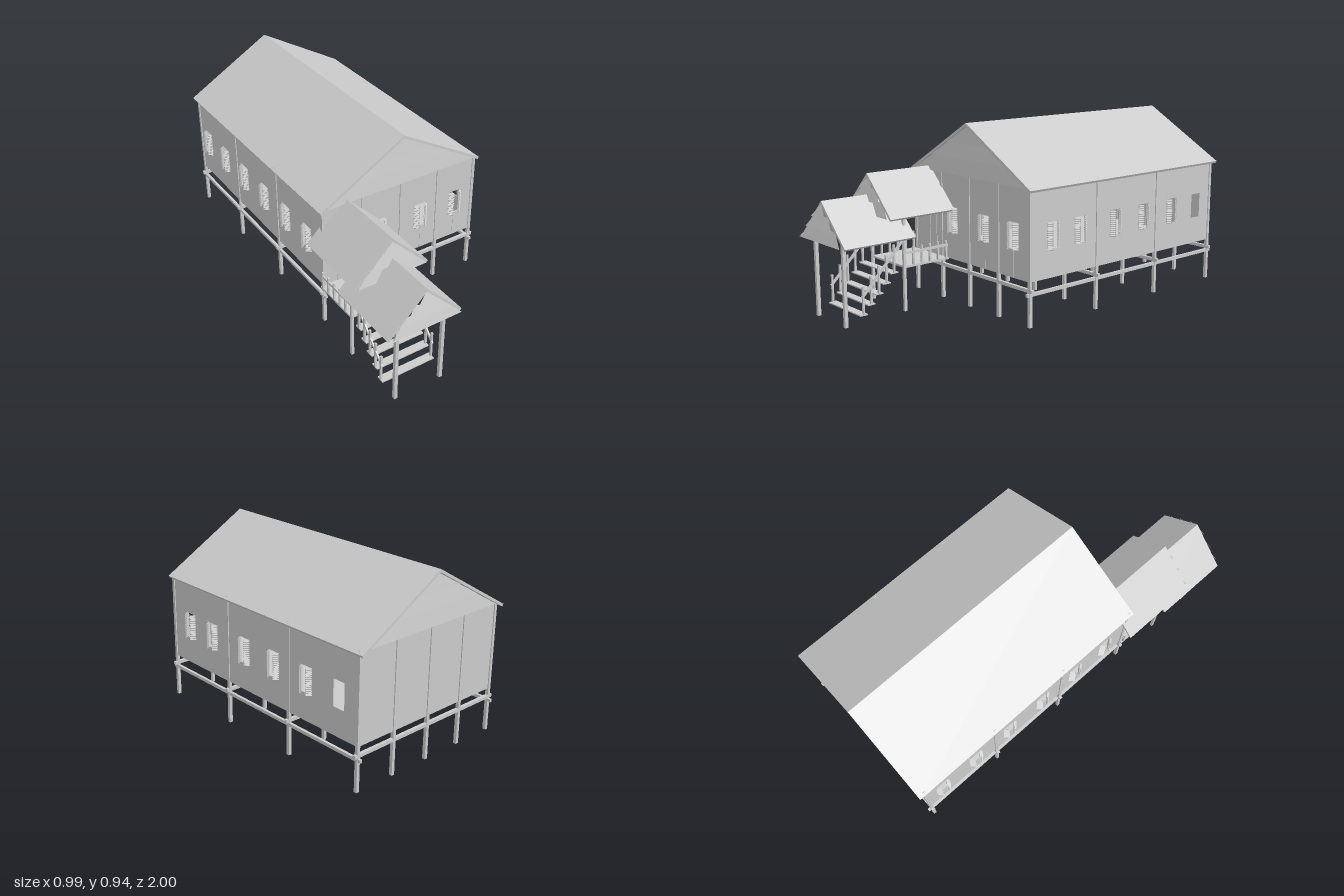
import * as THREE from 'three';

const mat = new THREE.MeshStandardMaterial({ color: 0xcccccc, flatShading: true, side: THREE.DoubleSide });

// House frame: centre, wall half sizes and heights
const CX = 0.023, CZ = -0.312, HALF_X = 0.442, HALF_Z = 0.656;
const FLOOR_Y = 0.245, WALL_TOP = 0.685;
const PORCH_X = -0.292;

function mesh(parent, name, geometry) {
  const m = new THREE.Mesh(geometry, mat);
  m.name = name;
  parent.add(m);
  return m;
}

function group(parent, name) {
  const g = new THREE.Group();
  g.name = name;
  parent.add(g);
  return g;
}

// Box given by its lower and upper limits on each axis
function block(parent, name, x0, x1, y0, y1, z0, z1) {
  const m = mesh(parent, name, new THREE.BoxGeometry(x1 - x0, y1 - y0, z1 - z0));
  m.position.set((x0 + x1) / 2, (y0 + y1) / 2, (z0 + z1) / 2);
  return m;
}

function post(parent, name, x, z, y0, y1, w) {
  return block(parent, name, x - w / 2, x + w / 2, y0, y1, z - w / 2, z + w / 2);
}

function polygon(points) {
  return new THREE.Shape(points.map(([x, y]) => new THREE.Vector2(x, y)));
}

// Folded roof sheet running along z
function gableRoof(parent, name, { x, ridge, eave, half, thick, z0, z1 }) {
  const slope = Math.atan2(ridge - eave, half);
  const drop = thick / Math.cos(slope);
  const dx = thick * Math.sin(slope), dy = thick * Math.cos(slope);
  const shape = polygon([[0, ridge], [-half, eave], [-half + dx, eave - dy],
    [0, ridge - drop], [half - dx, eave - dy], [half, eave]]);
  const geo = new THREE.ExtrudeGeometry(shape, { depth: z1 - z0, bevelEnabled: false });
  mesh(parent, name, geo).position.set(x, 0, z0);
}

// Overlapping boards filling a gable, each leaning out at its lower edge
function gableBoards(parent, name, roof, levels, z, lean) {
  const g = group(parent, name);
  const top = roof.ridge - roof.thick * 1.1;
  const width = y => Math.max(0.0005, (top - y) * roof.half / (roof.ridge - roof.eave));
  levels.forEach((y0, i) => {
    const y1 = i + 1 < levels.length ? levels[i + 1] + 0.004 : top;
    const geo = new THREE.ShapeGeometry(polygon([[-width(y0), y0], [width(y0), y0], [width(y1), y1], [-width(y1), y1]]));
    const p = geo.attributes.position;
    for (let k = 0; k < p.count; k++) p.setZ(k, lean * (y1 - p.getY(k)) / (y1 - y0));
    geo.computeVertexNormals();
    mesh(g, 'gableBoard', geo).position.set(roof.x, 0, z);
  });
  return g;
}

const WIN = { half: 0.034, y0: 0.38, y1: 0.51 };

// Half-open louvred shutter hinged at one window edge
function shutter(parent, u, side) {
  const g = group(parent, 'shutter');
  const len = 0.03;
  g.position.set(u + side * 0.037, 0, 0.004);
  g.rotation.y = side * 0.78;
  const a = -side * len, lo = Math.min(0, a), hi = Math.max(0, a);
  for (const e of [0, a - Math.sign(a) * 0.004]) {
    block(g, 'shutterStile', Math.min(e, e + Math.sign(a) * 0.004), Math.max(e, e + Math.sign(a) * 0.004),
      WIN.y0, WIN.y1, -0.002, 0.002);
  }
  for (let i = 0; i < 13; i++) {
    const y = WIN.y0 + 0.005 + i * 0.01;
    block(g, 'slat', lo, hi, y - 0.0012, y + 0.0012, -0.006, 0.006).rotation.x = 0.5;
  }
}

// Thin wall in its own frame: outside faces local +z
function wall(parent, name, half, windows) {
  const g = group(parent, name);
  const shape = polygon([[-half, FLOOR_Y], [half, FLOOR_Y], [half, WALL_TOP], [-half, WALL_TOP]]);
  for (const { u, shutters } of windows) {
    shape.holes.push(polygon([[u - WIN.half, WIN.y0], [u - WIN.half, WIN.y1], [u + WIN.half, WIN.y1], [u + WIN.half, WIN.y0]]));
    if (shutters) for (const s of [-1, 1]) shutter(g, u, s);
  }
  const geo = new THREE.ExtrudeGeometry(shape, { depth: 0.006, bevelEnabled: false });
  mesh(g, name + 'Panel', geo).position.z = -0.003;
  return g;
}

export function createModel() {
  const model = new THREE.Group();
  model.name = 'stiltHouse';

  // Walls
  const win = (u, shutters = true) => ({ u, shutters });
  const front = wall(model, 'frontWall', HALF_X, [-0.103, 0.141, 0.355].map(x => win(x - CX)));
  front.position.set(CX, 0, CZ + HALF_Z);
  const back = wall(model, 'backWall', HALF_X, []);
  back.position.set(CX, 0, CZ - HALF_Z);
  back.rotation.y = Math.PI;
  const left = wall(model, 'leftWall', HALF_Z,
    [0.205, 0.025, -0.22, -0.43, -0.65, -0.852].map(z => win(CZ - z, z > -0.8)));
  left.position.set(CX + HALF_X, 0, CZ);
  left.rotation.y = Math.PI / 2;
  const right = wall(model, 'rightWall', HALF_Z,
    [0.205, 0.0, -0.22, -0.44, -0.66, -0.87].map(z => win(z - CZ)));
  right.position.set(CX - HALF_X, 0, CZ);
  right.rotation.y = -Math.PI / 2;

  // Panel battens on the front wall and the double door behind the porch
  for (const x of [0.145, 0.355]) block(model, 'wallSeam', x - 0.001, x + 0.001, FLOOR_Y, WIN.y0, 0.344, 0.349);
  for (const s of [-1, 1]) {
    const a = PORCH_X + s * 0.003, b = PORCH_X + s * 0.052;
    block(model, 'doorLeaf', Math.min(a, b), Math.max(a, b), FLOOR_Y, 0.51, 0.344, 0.35);
  }

  // Floor, stilts and the beams tying them
  block(model, 'floor', CX - HALF_X, CX + HALF_X, FLOOR_Y - 0.004, FLOOR_Y + 0.002, CZ - HALF_Z, CZ + HALF_Z);
  const stilts = group(model, 'stilts');
  for (let r = 0; r < 4; r++) {
    const z = CZ + HALF_Z - r * HALF_Z * 2 / 3;
    for (let c = 0; c < 5; c++) {
      const edge = r === 0 || r === 3 || c === 0 || c === 4;
      post(stilts, 'stilt', CX - HALF_X + c * HALF_X / 2, z, 0.025, edge ? WALL_TOP : FLOOR_Y, 0.016);
    }
    block(stilts, 'crossBeam', CX - 0.463, CX + 0.463, 0.193, 0.209, z - 0.008, z + 0.008);
  }
  for (const s of [-1, 1]) {
    const x = CX + s * HALF_X;
    block(stilts, 'sideBeam', x - 0.007, x + 0.007, 0.174, 0.19, -0.99, 0.365);
  }

  // Main roof with boarded gables at both ends
  const mainRoof = { x: CX, ridge: 0.943, eave: 0.675, half: 0.464, thick: 0.013, z0: -1, z1: 0.362 };
  gableRoof(model, 'mainRoof', mainRoof);
  const levels = [0.68, 0.765, 0.838];
  gableBoards(model, 'frontGable', mainRoof, levels, 0.346, 0.014);
  gableBoards(model, 'backGable', mainRoof, levels, -0.97, -0.014);

  // Two stepped entrance roofs
  const upper = { x: PORCH_X, ridge: 0.701, eave: 0.501, half: 0.2, thick: 0.013, z0: 0.32, z1: 0.725 };
  const lower = { x: PORCH_X, ridge: 0.597, eave: 0.397, half: 0.2, thick: 0.013, z0: 0.585, z1: 0.98 };
  gableRoof(model, 'upperPorchRoof', upper);
  gableRoof(model, 'lowerPorchRoof', lower);
  gableBoards(model, 'upperPorchGable', upper, [0.502, 0.566, 0.625], 0.717, 0.02);
  gableBoards(model, 'lowerPorchGable', lower, [0.398, 0.462, 0.52], 0.978, 0.022);

  // Porch floor, posts and railings, mirrored about the porch centre
  block(model, 'porchFloor', PORCH_X - 0.145, PORCH_X + 0.145, 0.235, 0.245, 0.344, 0.615);
  for (const s of [-1, 1]) {
    post(model, 'frontPorchPost', PORCH_X + s * 0.126, 0.945, 0, 0.43, 0.017);
    const x = PORCH_X + s * 0.141;
    post(model, 'rearPorchPost', x, 0.615, 0.017, 0.525, 0.014);
    const rail = group(model, 'porchRailing');
    block(rail, 'railBar', x - 0.004, x + 0.004, 0.304, 0.316, 0.35, 0.615);
    for (let i = 0; i < 5; i++) post(rail, 'baluster', x, 0.56 - i * 0.05, 0.245, 0.335, 0.01);

    // Sloping handrail
    const stairRail = group(model, 'stairRailing');
    const dz = 0.25, dy = 0.255;
    const bar = mesh(stairRail, 'handrail', new THREE.BoxGeometry(0.008, 0.012, Math.hypot(dz, dy)));
    bar.position.set(x, 0.259, 0.737);
    bar.rotation.x = Math.atan2(dy, dz);
    for (let i = 0; i < 5; i++) {
      post(stairRail, 'stairBaluster', x, 0.855 - i * 0.045, 0.045 + i * 0.044, 0.187 + i * 0.044, 0.01);
    }
  }

  // Open stair treads
  const stairs = group(model, 'stairs');
  for (let i = 0; i < 5; i++) {
    const y = 0.046 + i * 0.044, z = 0.855 - i * 0.045;
    block(stairs, 'tread', PORCH_X - 0.145, PORCH_X + 0.145, y - 0.003, y + 0.003, z - 0.021, z + 0.021);
  }

  return model;
}
